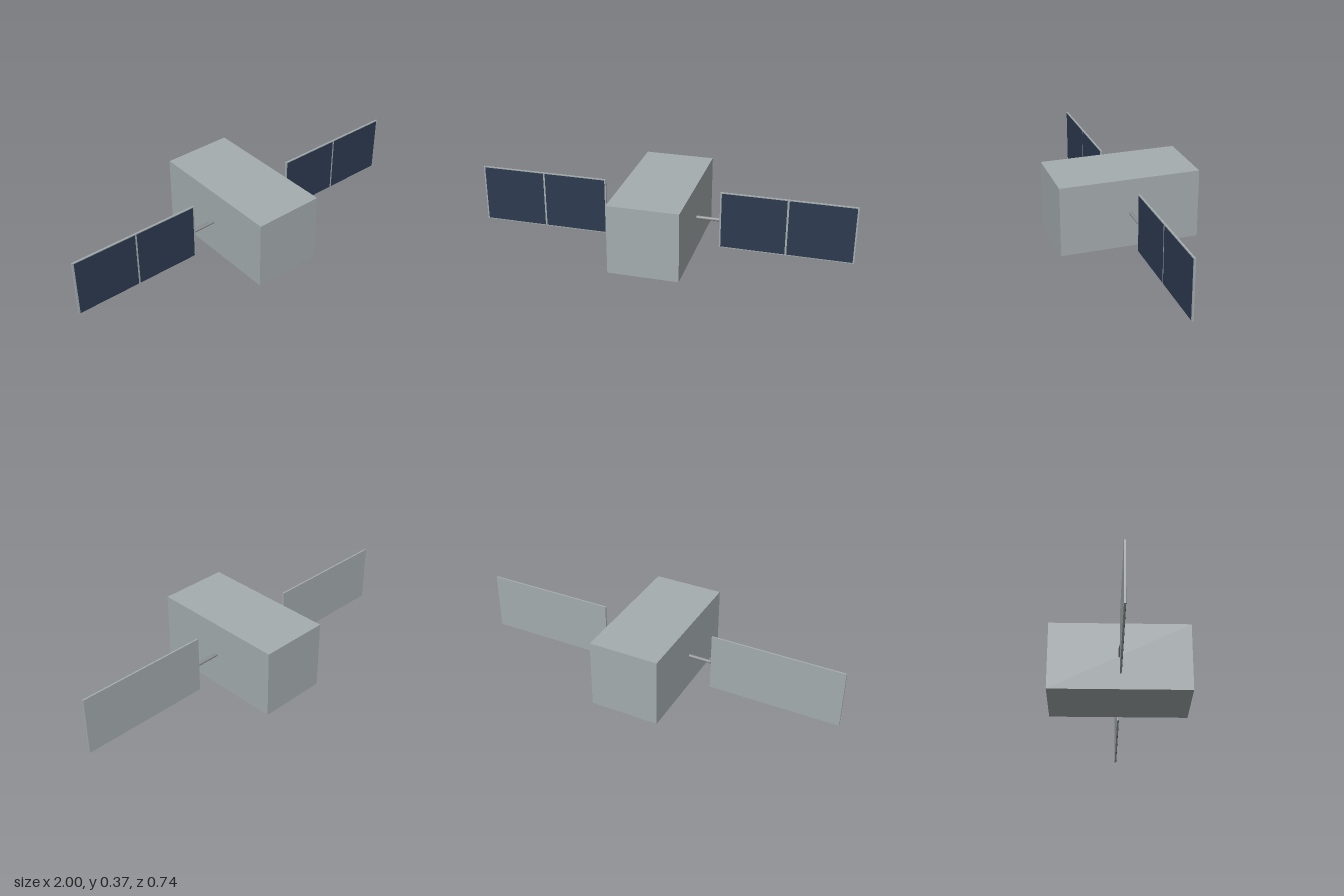
import * as THREE from 'three';

export function createModel() {
  const model = new THREE.Group();
  const hull = new THREE.MeshStandardMaterial({ color: 0xa4acae });
  hull.name = 'hull grey';
  const metal = new THREE.MeshStandardMaterial({ color: 0x8c8f91 });
  metal.name = 'boom grey';
  const solar = new THREE.MeshStandardMaterial({ color: 0x2c3a4f });
  solar.name = 'solar blue';

  const midY = 0.184;

  function add(name, geometry, material, x, y, z) {
    const mesh = new THREE.Mesh(geometry, material);
    mesh.name = name;
    mesh.position.set(x, y, z);
    model.add(mesh);
    return mesh;
  }

  // Main bus
  add('body', new THREE.BoxGeometry(0.368, 0.368, 0.735), hull, 0, midY, 0);

  // Mirrored wings: boom, panel and two cell plates on the front face
  for (const [side, s] of [['left', 1], ['right', -1]]) {
    const boom = add(`${side}Boom`, new THREE.CylinderGeometry(0.009, 0.009, 0.13, 16), metal, s * 0.242, midY, 0);
    boom.rotation.z = Math.PI / 2;

    add(`${side}Panel`, new THREE.BoxGeometry(0.694, 0.31, 0.009), hull, s * 0.653, midY, 0);

    for (const [part, offset] of [['Inner', -0.172], ['Outer', 0.172]]) {
      add(`${side}${part}Cells`, new THREE.BoxGeometry(0.334, 0.3, 0.002), solar, s * (0.653 + offset), midY, 0.0045);
    }
  }

  return model;
}
